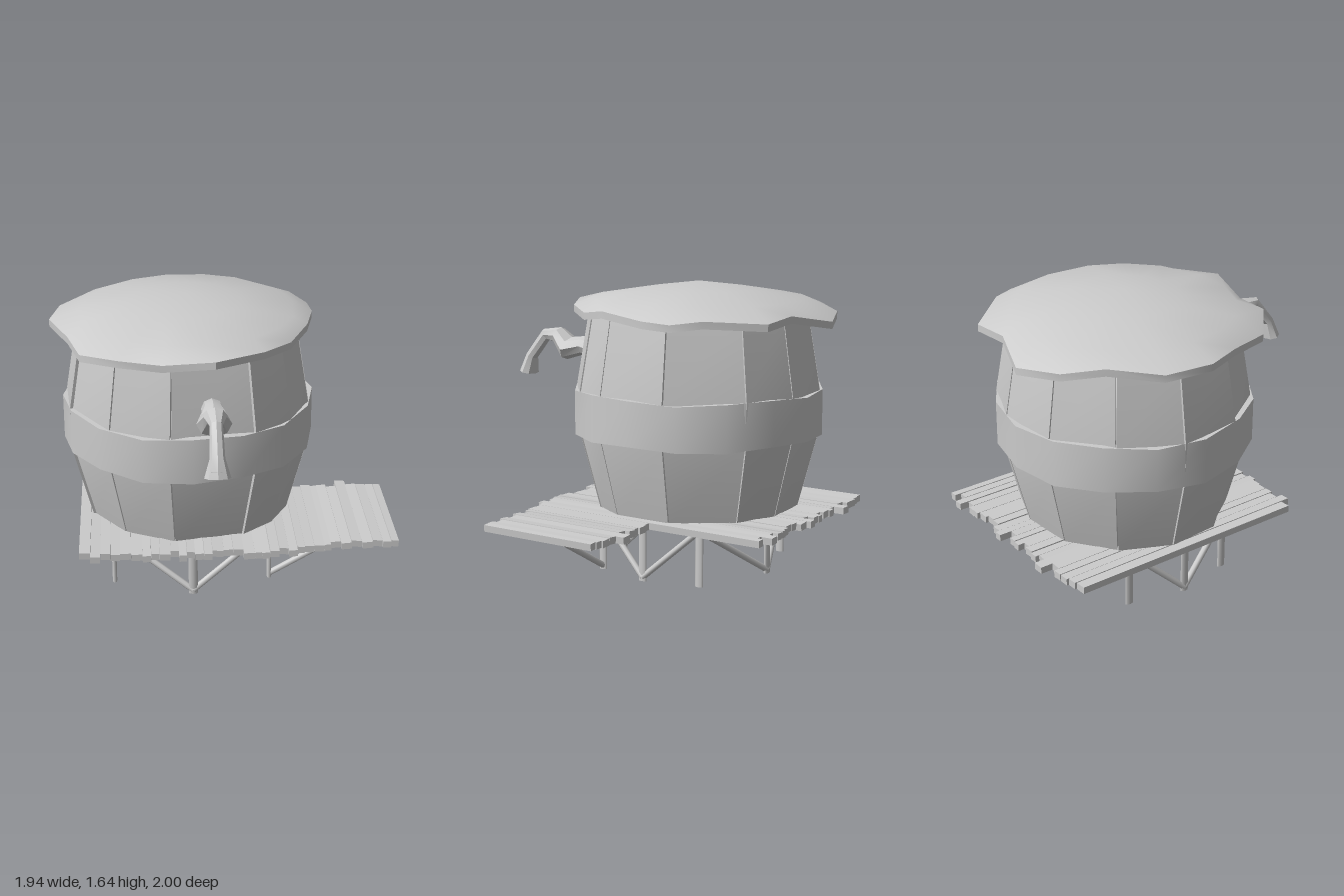
import * as THREE from 'three';
import { toCreasedNormals } from 'three/addons/utils/BufferGeometryUtils.js';

const CX = -0.19, CZ = -0.203; // barrel axis
const mat = new THREE.MeshStandardMaterial({ color: 0xcccccc, side: THREE.DoubleSide });

let seed = 7;
const rand = () => (seed = (seed * 16807) % 2147483647) / 2147483647;

function add(parent, name, geometry) {
  const mesh = new THREE.Mesh(geometry, mat);
  mesh.name = name;
  parent.add(mesh);
  return mesh;
}

// Skin a list of closed rings of [x, y, z] points
function loft(rings, crease) {
  const n = rings[0].length, index = [];
  for (let i = 0; i < rings.length - 1; i++) {
    for (let j = 0; j < n; j++) {
      const a = i * n + j, d = i * n + (j + 1) % n;
      index.push(a, a + n, d + n, a, d + n, d);
    }
  }
  const g = new THREE.BufferGeometry();
  g.setAttribute('position', new THREE.Float32BufferAttribute(rings.flat(2), 3));
  g.setIndex(index);
  return toCreasedNormals(g, crease);
}

// Wrap a box around the barrel axis: x -> angle, y -> height, z -> radius
function wrap(a0, a1, segX, segY, heightAt, radiusAt) {
  const g = new THREE.BoxGeometry(1, 1, 1, segX, segY, 1), p = g.attributes.position;
  for (let i = 0; i < p.count; i++) {
    const a = THREE.MathUtils.lerp(a0, a1, p.getX(i) + 0.5);
    const v = p.getY(i) + 0.5;
    const r = radiusAt(v, a) + (p.getZ(i) - 0.5) * 0.045;
    p.setXYZ(i, CX + r * Math.sin(a), heightAt(v, a), CZ + r * Math.cos(a) * 0.985);
  }
  g.computeVertexNormals();
  return g;
}

function beam(parent, name, a, b, radius) {
  const va = new THREE.Vector3(...a), vb = new THREE.Vector3(...b), dir = vb.clone().sub(va);
  const mesh = add(parent, name, new THREE.CylinderGeometry(radius, radius, dir.length(), 8));
  mesh.position.copy(va).add(vb).multiplyScalar(0.5);
  mesh.quaternion.setFromUnitVectors(new THREE.Vector3(0, 1, 0), dir.normalize());
  return mesh;
}

function buildBarrel() {
  const barrel = new THREE.Group();
  barrel.name = 'barrel';
  // Core behind the gaps between staves
  const core = [[0, 0.36], [0.5, 0.36], [0.61, 0.8], [0.61, 1.03], [0.53, 1.46], [0, 1.46]];
  add(barrel, 'core', new THREE.LatheGeometry(core.map(c => new THREE.Vector2(...c)), 24))
    .position.set(CX, 0, CZ);
  // Uneven flat staves, straight above and below the hoop
  const edges = [-40, -10, 29, 52, 73, 107, 144, 170, 200, 230, 260, 290, 320];
  const heights = [0.365, 0.79, 1.04, 1.48], bulge = [0.588, 0.7, 0.705, 0.63];
  for (let i = 0; i < 12; i++) {
    const off = (rand() - 0.5) * 0.012, lean = (rand() - 0.5) * 0.016;
    const a0 = THREE.MathUtils.degToRad(edges[i] + 0.3), a1 = THREE.MathUtils.degToRad(edges[i + 1] - 0.3);
    add(barrel, 'stave', wrap(a0, a1, 1, 3, v => heights[Math.round(v * 3)],
      (v, a) => bulge[Math.round(v * 3)] + off + lean * (a - a0) / (a1 - a0)));
  }
  // Hoop with slightly wavy edges
  add(barrel, 'hoop', wrap(-Math.PI, Math.PI, 16, 1,
    (v, a) => (v ? 1.04 : 0.785) + 0.01 * Math.sin(5 * a + v), () => 0.72));
  return barrel;
}

// Shallow lid with a ragged, drooping rim
function buildLid() {
  const rim = [
    [-0.33, 1.44, -0.98], [-0.58, 1.47, -0.88], [-0.72, 1.5, -0.7], [-0.92, 1.48, -0.48],
    [-0.97, 1.49, -0.22], [-0.86, 1.47, 0.02], [-0.79, 1.46, 0.27], [-0.58, 1.49, 0.45],
    [-0.35, 1.47, 0.48], [-0.07, 1.51, 0.55], [0.2, 1.5, 0.39], [0.36, 1.48, 0.2],
    [0.47, 1.51, 0], [0.53, 1.48, -0.3], [0.52, 1.47, -0.47], [0.43, 1.49, -0.62],
    [0.2, 1.47, -0.88], [-0.05, 1.49, -0.88]];
  const ring = (r, y) => rim.map(([x, , z]) => {
    const a = Math.atan2(x - CX, z - CZ);
    return [CX + r * Math.sin(a), y, CZ + r * Math.cos(a)];
  });
  const low = rim.map(([x, y, z]) => [x, y - 0.04, z]);
  return loft([ring(0, 1.638), ring(0.31, 1.597), ring(0.61, 1.548), rim, low,
    ring(0.61, 1.49), ring(0, 1.49)], 0.75);
}

// Crooked spout: z, y, half width, half thickness at each station
function buildSpout() {
  const path = [[0.4, 1.19, 0.06, 0.055], [0.53, 1.225, 0.06, 0.055], [0.64, 1.2, 0.095, 0.07],
    [0.72, 1.275, 0.06, 0.05], [0.815, 1.27, 0.035, 0.038], [0.925, 1.135, 0.04, 0.035],
    [0.95, 1.035, 0.07, 0.048]];
  const rings = path.map(([z, y, rx, rn], i) => {
    const a = path[Math.max(i - 1, 0)], b = path[Math.min(i + 1, path.length - 1)];
    const len = Math.hypot(b[0] - a[0], b[1] - a[1]);
    const tz = (b[0] - a[0]) / len, ty = (b[1] - a[1]) / len;
    return Array.from({ length: 8 }, (_, j) => {
      const c = Math.cos(j * Math.PI / 4) * rx, s = Math.sin(j * Math.PI / 4) * rn;
      return [-0.085 + c, y - tz * s, z + ty * s];
    });
  });
  // Recessed mouth
  const mouth = rings[rings.length - 1], toward = (f, dy) => mouth.map(
    p => [-0.085 + (p[0] + 0.085) * f, 1.035 + (p[1] - 1.035) * f + dy, 0.95 + (p[2] - 0.95) * f]);
  rings.push(toward(0.8, 0), toward(0.7, 0.04), toward(0, 0.04));
  return loft(rings, 0.5);
}

// Row of uneven planks running front to back
function addPlanks(deck, x0, x1, count, back, front) {
  const w = Array.from({ length: count }, () => 0.75 + 0.5 * rand());
  const unit = (x1 - x0) / w.reduce((s, v) => s + v, 0);
  let x = x0;
  for (let i = 0; i < count; i++) {
    const width = w[i] * unit;
    const zb = i % 8 === 5 ? back - 0.05 : back + (rand() - 0.5) * 0.05;
    const zf = front + (rand() - 0.5) * 0.06;
    const plank = add(deck, 'plank', new THREE.BoxGeometry(width - 0.001, 0.038, zf - zb));
    plank.position.set(x + width / 2, 0.346 + (rand() - 0.5) * 0.006, (zb + zf) / 2);
    plank.rotation.z = (rand() - 0.5) * 0.16;
    x += width;
  }
}

// Eight posts with zigzag braces, tops at the corners and feet between them
function buildStand() {
  const stand = new THREE.Group();
  stand.name = 'stand';
  const spots = [[0, 0.495], [0.45, 0.325], [0.525, 0], [0.45, -0.325],
    [0, -0.495], [-0.45, -0.325], [-0.525, 0], [-0.45, 0.325]].map(([x, z]) => [x + CX, z - 0.175]);
  spots.forEach(([x, z], i) => {
    const post = beam(stand, 'post', [x, 0, z], [x, 0.33, z], 0.026);
    if (i % 4 === 0) post.scale.z = 0.5;
    else post.scale.x = 0.5;
    const [nx, nz] = spots[(i + 1) % 8], foot = i % 2 ? 0.315 : 0.02;
    beam(stand, 'brace', [x, foot, z], [nx, 0.335 - foot, nz], 0.018);
  });
  beam(stand, 'sideBrace', [0.26, 0.02, 0.15], [0.8, 0.33, 0.15], 0.018);
  return stand;
}

export function createModel() {
  const model = new THREE.Group();
  model.name = 'barrelOnDeck';
  model.add(buildBarrel());
  add(model, 'lid', buildLid());
  add(model, 'spout', buildSpout());
  const deck = new THREE.Group();
  deck.name = 'deck';
  addPlanks(deck, -0.83, 0.43, 24, -0.95, 0.505);
  addPlanks(deck, 0.43, 0.965, 10, -0.295, 0.445);
  model.add(deck, buildStand());
  return model;
}
